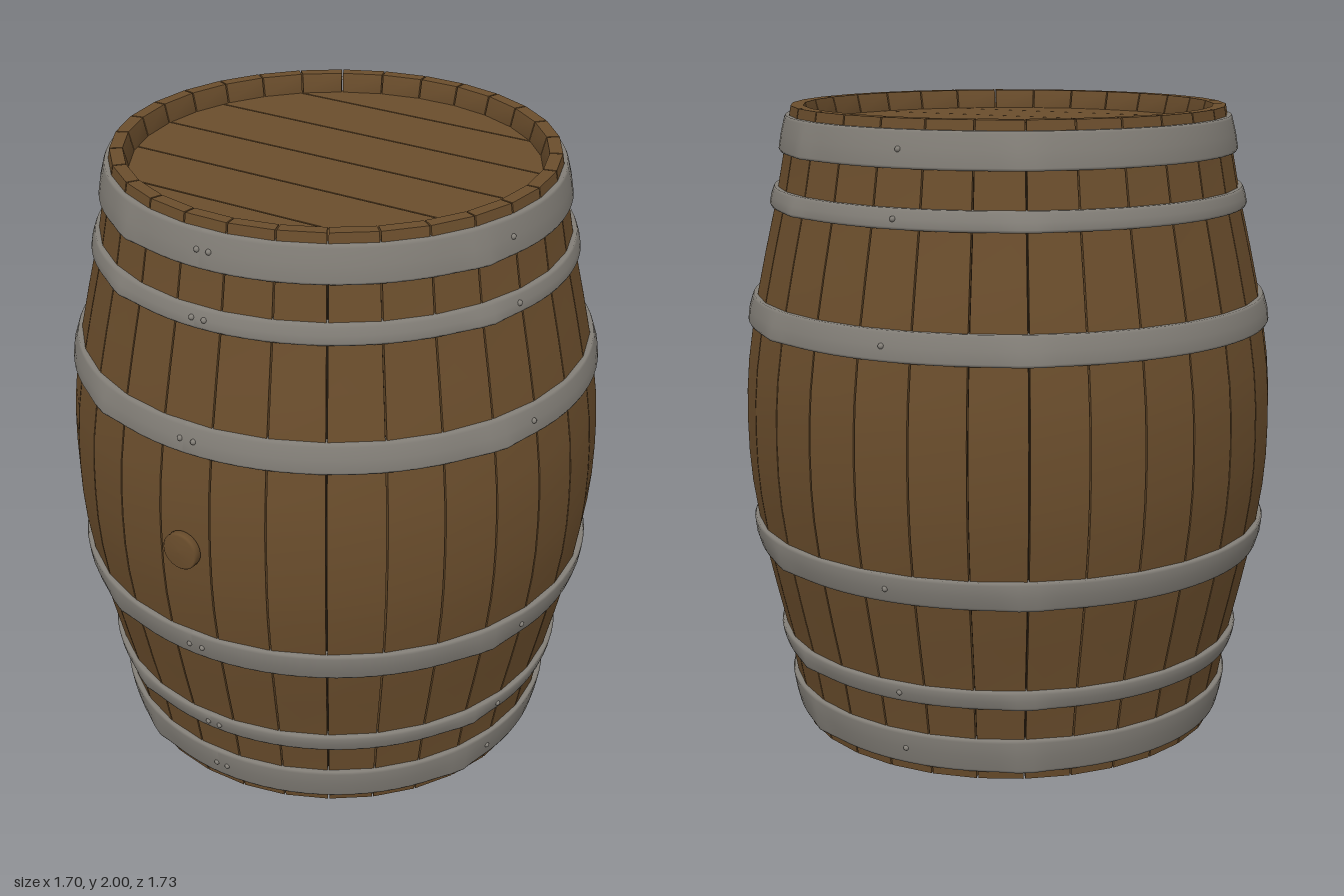
import * as THREE from 'three';

const wood = new THREE.MeshStandardMaterial({ color: 0x6a4d2c });
wood.name = 'oakWood';
const iron = new THREE.MeshStandardMaterial({ color: 0x827e77 });
iron.name = 'hoopIron';
const shade = new THREE.MeshStandardMaterial({ color: 0x1e160d });
shade.name = 'darkGap';

const STAVES = 30;
const LID_Y = 1.94;

// Barrel radius at a height: [distance from mid height, radius]
const PROFILE = [[0, 0.852], [0.1, 0.85], [0.2, 0.842], [0.37, 0.817], [0.55, 0.778], [0.7, 0.743], [0.87, 0.711], [1, 0.688]];
function radiusAt(y) {
  const d = Math.min(Math.abs(y - 1), 1);
  for (let i = 1; i < PROFILE.length; i++) {
    const [d0, r0] = PROFILE[i - 1], [d1, r1] = PROFILE[i];
    if (d <= d1) return THREE.MathUtils.lerp(r0, r1, (d - d0) / (d1 - d0));
  }
  return PROFILE[PROFILE.length - 1][1];
}

function add(parent, name, geometry, material) {
  const mesh = new THREE.Mesh(geometry, material);
  mesh.name = name;
  parent.add(mesh);
  return mesh;
}

// A box bent to the barrel curve: x becomes angle, z becomes radius
function staveGeometry() {
  const levels = [0, 0.06, 0.13, 0.3, 0.45, 0.63, 0.8, 0.9, 1, 1.1, 1.2, 1.37, 1.55, 1.7, 1.87, 1.94, 2];
  const geo = new THREE.BoxGeometry(1, 1, 1, 1, levels.length - 1, 1);
  const p = geo.attributes.position;
  const half = Math.PI / STAVES;
  for (let i = 0; i < p.count; i++) {
    const y = levels[Math.round((p.getY(i) + 0.5) * (levels.length - 1))];
    const outer = radiusAt(y);
    const thick = y === 0 || y === 2 ? 0.04 : 0.066;
    const r = p.getZ(i) > 0 ? outer : outer - thick;
    const a = Math.sign(p.getX(i)) * (half - 0.0025 / outer);
    p.setXYZ(i, Math.sin(a) * r, y, Math.cos(a) * r);
  }
  geo.computeVertexNormals();
  return geo;
}

// Iron band following the barrel, with a few hammered bulges on its lower edge
function hoopGeometry(y0, y1) {
  const b = 0.008, out = 0.015;
  const points = [
    [radiusAt(y0) - 0.02, y0], [radiusAt(y0) + out - 0.004, y0],
    [radiusAt(y0) + out, y0 + b], [radiusAt((y0 + y1) / 2) + out + 0.002, (y0 + y1) / 2],
    [radiusAt(y1) + out, y1 - b], [radiusAt(y1) + out - 0.004, y1],
    [radiusAt(y1) - 0.02, y1],
  ].map(([r, y]) => new THREE.Vector2(r, y));
  const geo = new THREE.LatheGeometry(points, 90);
  const p = geo.attributes.position;
  const bulges = [-25, 67, 148, 210].map(THREE.MathUtils.degToRad);
  for (let i = 0; i < p.count; i++) {
    const a = Math.atan2(p.getX(i), p.getZ(i));
    const low = THREE.MathUtils.clamp(1 - (p.getY(i) - y0) / (y1 - y0), 0, 1);
    let push = 0;
    for (const c of bulges) {
      const d = Math.atan2(Math.sin(a - c), Math.cos(a - c));
      push += 0.012 * low * Math.exp(-((d / 0.07) ** 2));
    }
    p.setX(i, p.getX(i) + Math.sin(a) * push);
    p.setZ(i, p.getZ(i) + Math.cos(a) * push);
  }
  geo.computeVertexNormals();
  return geo;
}

// Round lid made of parallel planks, top face at y = 0
function makeLid(name) {
  const lid = new THREE.Group();
  lid.name = name;
  const R = 0.65, gap = 0.0025;
  const seams = [-R, -0.453, -0.223, 0.007, 0.237, 0.467, R];
  for (let i = 0; i < seams.length - 1; i++) {
    const a0 = Math.asin(Math.max(-1, (seams[i] + gap) / R));
    const a1 = Math.asin(Math.min(1, (seams[i + 1] - gap) / R));
    const shape = new THREE.Shape();
    shape.absarc(0, 0, R, a0, a1, false);
    shape.absarc(0, 0, R, Math.PI - a1, Math.PI - a0, false);
    const geo = new THREE.ExtrudeGeometry(shape, { depth: 0.03, bevelEnabled: false, curveSegments: 16 });
    geo.translate(0, 0, -0.03).rotateX(-Math.PI / 2);
    add(lid, 'lidPlank', geo, wood);
  }
  // Dark backing seen through the seams
  add(lid, 'lidBacking', new THREE.CylinderGeometry(0.64, 0.64, 0.008, 40), shade).position.y = -0.026;
  return lid;
}

export function createModel() {
  const model = new THREE.Group();
  model.name = 'barrel';
  const body = new THREE.Group();
  body.name = 'barrelBody';
  body.position.z = -0.013;
  model.add(body);

  // Staves
  const stave = staveGeometry();
  for (let i = 0; i < STAVES; i++) {
    add(body, 'stave', stave, wood).rotation.y = (i * Math.PI * 2) / STAVES;
  }

  // Dark liner behind the stave gaps
  const liner = [];
  for (let i = 0; i <= 14; i++) {
    const y = 0.1 + (i / 14) * 1.8;
    liner.push(new THREE.Vector2(radiusAt(y) - 0.025, y));
  }
  add(body, 'liner', new THREE.LatheGeometry(liner, 60), shade);

  // Lids
  const top = makeLid('topLid');
  top.position.y = LID_Y;
  const bottom = makeLid('bottomLid');
  bottom.position.y = 2 - LID_Y;
  bottom.rotation.x = Math.PI;
  body.add(top, bottom);

  // Hoops and rivets, mirrored about mid height
  const rivet = new THREE.SphereGeometry(0.009, 10, 8);
  for (const [a, b] of [[0.03, 0.14], [0.25, 0.31], [0.59, 0.68]]) {
    for (const [y0, y1] of [[a, b], [2 - b, 2 - a]]) {
      add(body, 'hoop', hoopGeometry(y0, y1), iron);
      const y = (y0 + y1) / 2, r = radiusAt(y) + 0.016;
      for (const deg of [-0.8, 2.4, 76, 180]) {
        const t = THREE.MathUtils.degToRad(deg);
        add(body, 'rivet', rivet, iron).position.set(Math.sin(t) * r, y, Math.cos(t) * r);
      }
    }
  }

  // Bung in the front
  const bungProfile = [[0.045, 0], [0.05, 0.05], [0.06, 0.058], [0.06, 0.08], [0.055, 0.085], [0, 0.087]]
    .map(([r, y]) => new THREE.Vector2(r, y));
  const bungGeo = new THREE.LatheGeometry(bungProfile, 24);
  bungGeo.rotateX(Math.PI / 2);
  add(body, 'bung', bungGeo, wood).position.set(0, 1, 0.796);

  return model;
}
